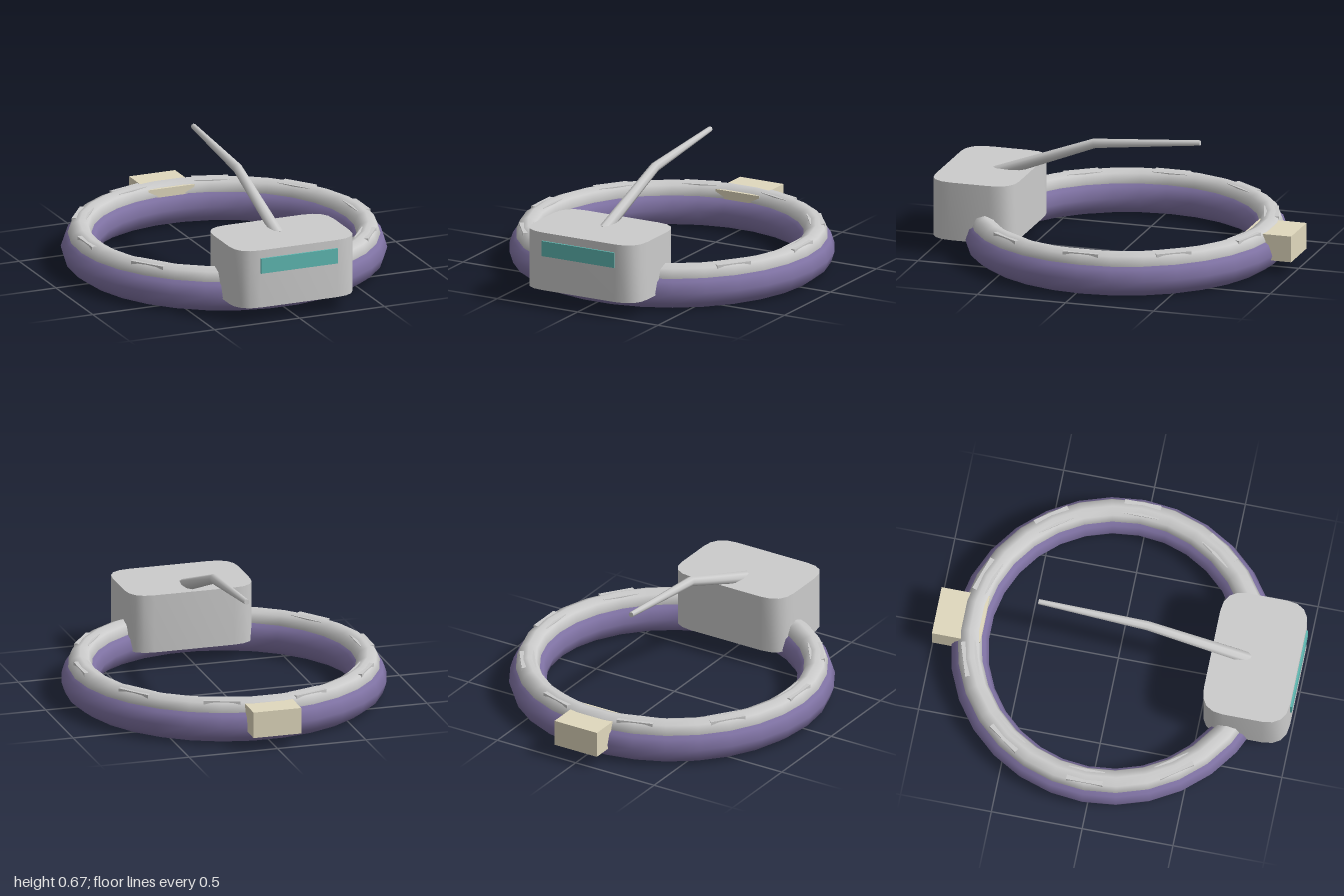
import * as THREE from 'three';
import { toCreasedNormals } from 'three/addons/utils/BufferGeometryUtils.js';

const paint = (color) => new THREE.MeshStandardMaterial({ color });
const grey = paint(0xcccccc);
const purple = paint(0x7f72a3);
const tan = paint(0xe0d8bd);
const teal = paint(0x5fb8b2);

const RING_R = 0.78, RING_Z = -0.025;

function part(parent, name, geometry, material, x = 0, y = 0, z = 0) {
  const mesh = new THREE.Mesh(geometry, material);
  mesh.name = name;
  mesh.position.set(x, y, z);
  parent.add(mesh);
  return mesh;
}

// Torus lying flat
const flatRing = (tube, sides) =>
  new THREE.TorusGeometry(RING_R, tube, sides, 30).rotateX(Math.PI / 2);

// Rounded rectangle extruded upwards
function roundedBlock(w, d, h, r) {
  const x = w / 2, y = d / 2, s = new THREE.Shape();
  s.moveTo(-x + r, -y);
  s.lineTo(x - r, -y);
  s.quadraticCurveTo(x, -y, x, -y + r);
  s.lineTo(x, y - r);
  s.quadraticCurveTo(x, y, x - r, y);
  s.lineTo(-x + r, y);
  s.quadraticCurveTo(-x, y, -x, y - r);
  s.lineTo(-x, -y + r);
  s.quadraticCurveTo(-x, -y, -x + r, -y);
  const g = new THREE.ExtrudeGeometry(s, { depth: h, bevelEnabled: false, curveSegments: 4 });
  return toCreasedNormals(g.rotateX(-Math.PI / 2), 0.6);
}

// Tapered bent rod: each row of a cylinder is moved onto a path station
function bentArm() {
  const stations = [
    { y: 0.386, z: 0.72, r: 0.034, dir: [0.35, -0.94] },
    { y: 0.6, z: 0.16, r: 0.027, dir: [0.23, -0.97] },
    { y: 0.658, z: -0.44, r: 0.015, dir: [0.1, -0.995] },
  ];
  const g = new THREE.CylinderGeometry(1, 1, 2, 8, 2);
  const p = g.attributes.position;
  for (let i = 0; i < p.count; i++) {
    const s = stations[Math.round(p.getY(i)) + 1];
    const across = p.getZ(i) * s.r;
    p.setXYZ(i, p.getX(i) * s.r, s.y - s.dir[1] * across, s.z + s.dir[0] * across);
  }
  return toCreasedNormals(g, 0.9);
}

export function createModel() {
  const model = new THREE.Group();

  // Stacked rings with small tiles set into the upper one
  const ring = new THREE.Group();
  ring.name = 'ring';
  ring.position.z = RING_Z;
  model.add(ring);
  part(ring, 'lowerRing', flatRing(0.102, 10), purple, 0, 0.1, 0);
  part(ring, 'upperRing', flatRing(0.065, 8), grey, 0, 0.18, 0);
  for (let i = 0; i < 10; i++) {
    const a = (i * Math.PI) / 5;
    const tile = part(ring, 'ringTile', new THREE.BoxGeometry(0.08, 0.04, 0.2), grey,
      Math.cos(a) * RING_R, 0.215, Math.sin(a) * RING_R);
    tile.rotation.y = -a;
  }

  // Front housing with display
  part(model, 'housing', roundedBlock(0.71, 0.475, 0.325, 0.13), grey, 0, 0.09, 0.753);
  part(model, 'displayPanel', new THREE.BoxGeometry(0.45, 0.085, 0.03), teal, 0, 0.327, 0.985);

  // Arm reaching back over the ring
  part(model, 'arm', bentArm(), grey);

  // Rear block
  part(model, 'rearBlock', new THREE.BoxGeometry(0.27, 0.145, 0.265), tan, 0, 0.148, -0.8675);

  return model;
}
